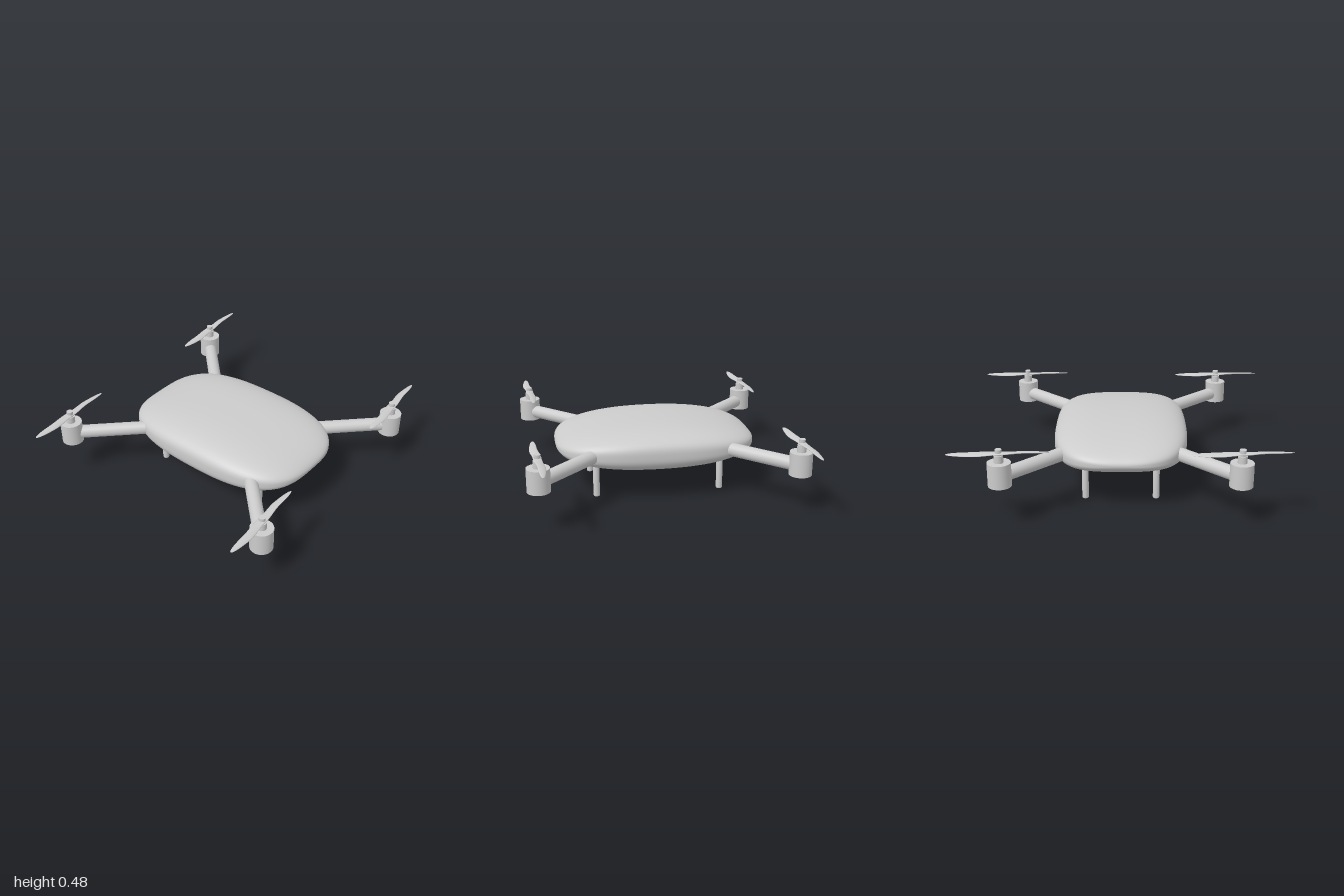
import * as THREE from 'three';
import { mergeVertices } from 'three/addons/utils/BufferGeometryUtils.js';

const material = new THREE.MeshStandardMaterial({ color: 0xcccccc });

function addMesh(parent, name, geometry, x = 0, y = 0, z = 0) {
  const mesh = new THREE.Mesh(geometry, material);
  mesh.name = name;
  mesh.position.set(x, y, z);
  parent.add(mesh);
  return mesh;
}

// Reshape a unit sphere by a rule, then weld it so the normals are smooth.
function sculpt(sphere, rule) {
  const pos = sphere.attributes.position;
  const v = new THREE.Vector3();
  for (let i = 0; i < pos.count; i++) {
    rule(v.fromBufferAttribute(pos, i));
    pos.setXYZ(i, v.x, v.y, v.z);
  }
  sphere.deleteAttribute('uv');
  sphere.deleteAttribute('normal');
  const welded = mergeVertices(sphere, 1e-5);
  welded.computeVertexNormals();
  return welded;
}

// Pebble body: rounded-box plan and section, elliptical side profile.
function bodyGeometry() {
  const sphere = new THREE.SphereGeometry(1, 72, 64).rotateX(Math.PI / 2);
  return sculpt(sphere, (v) => {
    const a = Math.atan2(v.y, v.x);
    const c = Math.cos(a), s = Math.sin(a);
    const r = Math.pow(Math.abs(c) ** 3 + Math.abs(s) ** 3, -1 / 3);
    const t = Math.min(1, Math.abs(v.z));
    const halfWidth = 0.43 * Math.cbrt(1 - t ** 3);
    const halfHeight = 0.14 * Math.sqrt(1 - t * t);
    v.set(r * c * halfWidth, r * s * halfHeight, v.z * 0.65);
  });
}

// Two-bladed propeller along x: swept, pitched and tapered to rounded tips.
function propellerGeometry() {
  const sphere = new THREE.SphereGeometry(1, 20, 48).rotateZ(-Math.PI / 2);
  return sculpt(sphere, (v) => {
    const t = Math.min(1, Math.abs(v.x));
    const side = Math.sign(v.x);
    const a = Math.atan2(v.y, v.z);
    const taper = Math.sqrt(1 - t ** 3);
    const twist = side * THREE.MathUtils.smoothstep(t, 0, 0.4);
    const sweep = -0.019 * side * THREE.MathUtils.smoothstep(t, 0, 0.55);
    const chord = 0.025 * taper * Math.cos(a);
    v.set(v.x * 0.3, 0.007 * taper * Math.sin(a) + 0.2 * twist * chord, sweep + chord);
  });
}

export function createModel() {
  const model = new THREE.Group();
  model.name = 'quadcopter';
  addMesh(model, 'body', bodyGeometry(), 0, 0.315, 0);

  const motorX = 0.7, motorZ = 0.785, armLength = 0.55;
  const arm = new THREE.CylinderGeometry(0.043, 0.043, armLength, 32).rotateX(Math.PI / 2);
  const motor = new THREE.CylinderGeometry(0.07, 0.07, 0.145, 40);
  const shaft = new THREE.CylinderGeometry(0.028, 0.028, 0.05, 28);
  const hub = new THREE.CylinderGeometry(0.02, 0.02, 0.05, 24);
  const propeller = propellerGeometry();
  // Leg with a slightly rounded foot
  const leg = new THREE.LatheGeometry(
    [[0, 0], [0.014, 0], [0.019, 0.002], [0.021, 0.008], [0.021, 0.26], [0, 0.26]]
      .map(([x, y]) => new THREE.Vector2(x, y)), 24);

  for (const sx of [-1, 1]) {
    for (const sz of [-1, 1]) {
      const corner = `${sz > 0 ? 'front' : 'back'}${sx > 0 ? 'Left' : 'Right'}`;
      const rotor = new THREE.Group();
      rotor.name = `${corner}Rotor`;
      rotor.position.set(sx * motorX, 0, sz * motorZ);
      model.add(rotor);

      // Arm runs diagonally from the motor into the body
      const reach = armLength / 2 * Math.SQRT1_2;
      const armMesh = addMesh(rotor, 'arm', arm, -sx * reach, 0.315, -sz * reach);
      armMesh.rotation.y = sx * sz * Math.PI / 4;

      addMesh(rotor, 'motor', motor, 0, 0.3285, 0);
      addMesh(rotor, 'shaft', shaft, 0, 0.42, 0);
      addMesh(rotor, 'hub', hub, 0, 0.457, 0);
      addMesh(rotor, 'propeller', propeller, 0, 0.456, 0);

      addMesh(model, `${corner}Leg`, leg, sx * 0.223, 0, sz * 0.405);
    }
  }
  return model;
}
